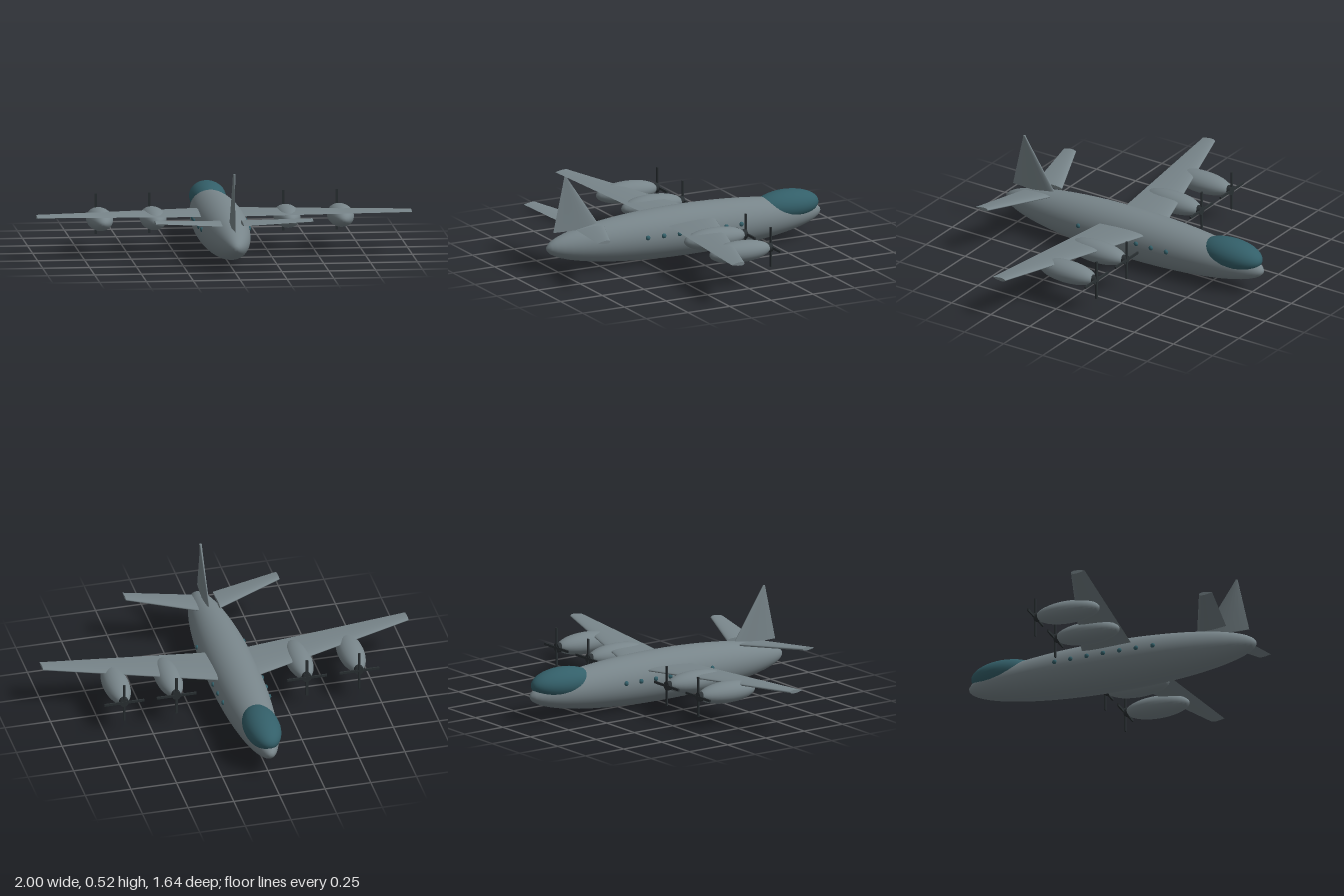
import * as THREE from 'three';

const mat = (name, color) => {
  const m = new THREE.MeshStandardMaterial({ color });
  m.name = name;
  return m;
};

// Closed airfoil outline from trailing edge, under, round the nose and back over the top
function airfoil(steps = 10) {
  const half = t => 5 * (0.2969 * Math.sqrt(t) - 0.126 * t - 0.3516 * t * t + 0.2843 * t ** 3 - 0.1036 * t ** 4);
  const pts = [];
  for (let i = -steps; i <= steps; i++) {
    const t = (i / steps) ** 2;
    pts.push([t, Math.sign(i) * half(t)]);
  }
  return pts;
}

// Tapered surface spanning +x (side = 1) or -x (side = -1); sections: { x, y, z0, z1, thick }
function foil(root, tip, side = 1) {
  const prof = airfoil(), n = prof.length, pos = [], idx = [];
  const tri = (a, b, c) => (side > 0 ? idx.push(a, b, c) : idx.push(a, c, b));
  const ring = s => {
    const start = pos.length / 3;
    for (const [t, h] of prof) pos.push(side * s.x, s.y + h * s.thick, s.z0 + t * (s.z1 - s.z0));
    return start;
  };
  const a = ring(root), b = ring(tip);
  for (let i = 0; i < n - 1; i++) {
    tri(a + i, a + i + 1, b + i);
    tri(a + i + 1, b + i + 1, b + i);
  }
  const ca = ring(root), cb = ring(tip);
  for (let i = 1; i < n - 1; i++) {
    tri(ca, ca + i + 1, ca + i);
    tri(cb, cb + i, cb + i + 1);
  }
  const g = new THREE.BufferGeometry();
  g.setAttribute('position', new THREE.Float32BufferAttribute(pos, 3));
  g.setIndex(idx);
  g.computeVertexNormals();
  return g;
}

// Ellipsoid with its poles on the z axis
const ellipsoid = (rx, ry, rz, w = 32, h = 20) =>
  new THREE.SphereGeometry(1, w, h).rotateX(-Math.PI / 2).scale(rx, ry, rz);

export function createModel() {
  const plane = new THREE.Group();
  plane.name = 'propellerAircraft';
  const grey = mat('hullGrey', 0x78858a);
  const teal = mat('glassTeal', 0x335f69);
  const dark = mat('propellerDark', 0x2a3033);
  const add = (name, geo, m, x = 0, y = 0, z = 0, parent = plane) => {
    const mesh = new THREE.Mesh(geo, m);
    mesh.name = name;
    mesh.position.set(x, y, z);
    parent.add(mesh);
    return mesh;
  };

  // Body and canopy (the nose points to -z)
  const R = 0.137, L = 0.82;
  add('fuselage', ellipsoid(R, R, L, 40, 28), grey, 0, R, 0);
  add('canopy', ellipsoid(0.097, 0.082, 0.19), teal, 0, 0.19, -0.615);

  // Fin
  const fin = foil(
    { x: 0.22, y: 0, z0: 0.5, z1: 0.78, thick: 0.018 },
    { x: 0.522, y: 0, z0: 0.703, z1: 0.713, thick: 0.014 });
  add('tailFin', fin.rotateZ(Math.PI / 2), grey);

  for (const side of [1, -1]) {
    const label = side > 0 ? 'left' : 'right';

    // Wing and tailplane
    add(label + 'Wing', foil(
      { x: 0.1, y: 0.203, z0: -0.138, z1: 0.147, thick: 0.022 },
      { x: 1, y: 0.226, z0: 0.16, z1: 0.238, thick: 0.019 }, side), grey);
    add(label + 'Tailplane', foil(
      { x: 0.057, y: 0.235, z0: 0.505, z1: 0.67, thick: 0.02 },
      { x: 0.42, y: 0.264, z0: 0.66, z1: 0.735, thick: 0.018 }, side), grey);

    // Engines with four-bladed propellers
    for (const x of [0.357, 0.643]) {
      const engine = new THREE.Group();
      engine.name = label + (x < 0.5 ? 'Inner' : 'Outer') + 'Engine';
      engine.position.set(side * x, 0.178, 0);
      plane.add(engine);
      add('nacelle', ellipsoid(0.07, 0.058, 0.18, 24, 16), grey, 0, 0, 0, engine);
      add('hub', new THREE.CylinderGeometry(0.025, 0.025, 0.03, 16).rotateX(Math.PI / 2), dark, 0, 0, -0.173, engine);
      add('verticalBlades', new THREE.BoxGeometry(0.013, 0.218, 0.008), dark, 0, 0, -0.186, engine);
      add('horizontalBlades', new THREE.BoxGeometry(0.218, 0.013, 0.008), dark, 0, 0, -0.186, engine);
    }

    // Row of round cabin windows
    for (let i = 0; i < 7; i++) {
      const z = -0.283 + i * 0.0935, y = 0.158;
      const r = R * Math.sqrt(1 - (z / L) ** 2);
      const x = Math.sqrt(r * r - (y - R) ** 2);
      add(label + 'Window', new THREE.SphereGeometry(0.013, 14, 10).scale(0.75, 1, 1), teal, side * x, y, z);
    }
  }
  return plane;
}
